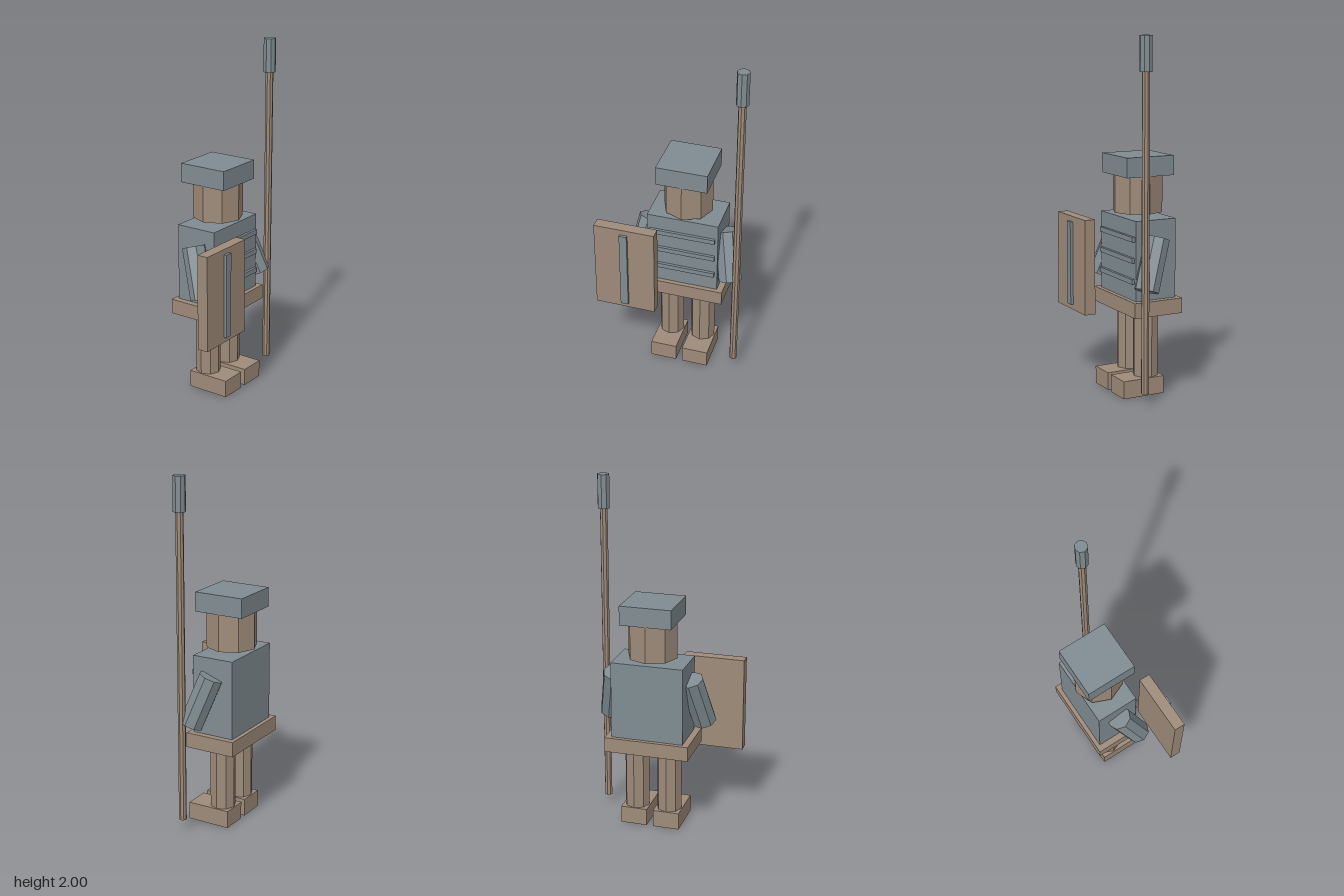
import * as THREE from 'three';

const cloth = new THREE.MeshStandardMaterial({ color: 0x9e8b79, flatShading: true });
cloth.name = 'warm brown';
const steel = new THREE.MeshStandardMaterial({ color: 0x808c92, flatShading: true });
steel.name = 'blue grey';

const MID_X = 0.058; // centre line of the body
const MID_Z = -0.07;

export function createModel() {
  const model = new THREE.Group();
  model.name = 'guard';

  const add = (name, geometry, material) => {
    const mesh = new THREE.Mesh(geometry, material);
    mesh.name = name;
    model.add(mesh);
    return mesh;
  };

  // box from its limits on each axis
  const box = (name, material, [x0, x1], [y0, y1], [z0, z1]) =>
    add(name, new THREE.BoxGeometry(x1 - x0, y1 - y0, z1 - z0), material)
      .position.set((x0 + x1) / 2, (y0 + y1) / 2, (z0 + z1) / 2);

  // eight-sided rod between two points
  const rod = (name, material, radius, from, to) => {
    const a = new THREE.Vector3(...from), b = new THREE.Vector3(...to);
    const axis = b.clone().sub(a);
    const mesh = add(name, new THREE.CylinderGeometry(radius, radius, axis.length(), 8), material);
    mesh.position.copy(a).add(b).multiplyScalar(0.5);
    mesh.quaternion.setFromUnitVectors(new THREE.Vector3(0, 1, 0), axis.normalize());
  };

  // head and helmet
  rod('head', cloth, 0.143, [MID_X, 1.02, MID_Z], [MID_X, 1.23, MID_Z]);
  box('helmet', steel, [-0.09, 0.205], [1.23, 1.34], [-0.217, 0.075]);

  // torso with raised chest bands, and the skirt below
  box('torso', steel, [-0.15, 0.266], [0.555, 1.0], [-0.195, 0.052]);
  for (const y of [0.663, 0.78, 0.898])
    box('chestBand', steel, [-0.135, 0.25], [y - 0.014, y + 0.014], [0.04, 0.068]);
  box('skirt', cloth, [-0.187, 0.302], [0.47, 0.555], [-0.219, 0.077]);

  // paired arms, legs and feet
  for (const [side, s] of [['left', 1], ['right', -1]]) {
    rod(side + 'Arm', steel, 0.07,
      [MID_X + s * 0.277, 0.625, 0.025], [MID_X + s * 0.222, 0.9, -0.072]);
    const x = MID_X + s * 0.096;
    rod(side + 'Leg', cloth, 0.072, [x, 0.1, MID_Z], [x, 0.47, MID_Z]);
    box(side + 'Foot', cloth, [x - 0.077, x + 0.077], [0, 0.1], [-0.145, 0.108]);
  }

  // shield with its central ridge
  box('shield', cloth, [-0.416, -0.062], [0.422, 0.968], [0.136, 0.2]);
  box('shieldRidge', steel, [-0.262, -0.217], [0.453, 0.937], [0.2, 0.216]);

  // spear
  rod('spearShaft', cloth, 0.022, [0.379, 0.068, 0.057], [0.379, 1.81, 0.057]);
  rod('spearHead', steel, 0.035, [0.379, 1.81, 0.057], [0.379, 2, 0.057]);

  return model;
}
